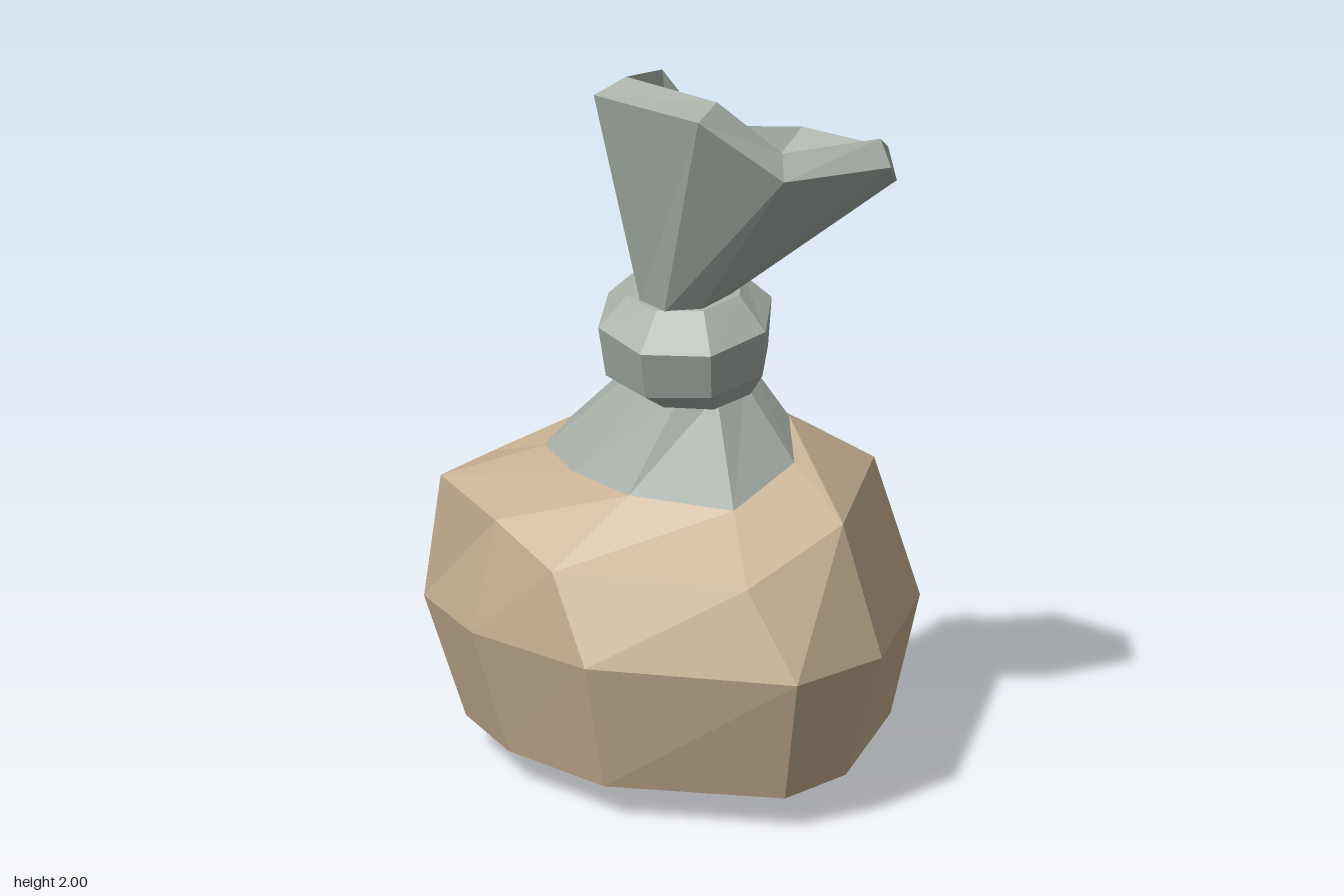
import * as THREE from 'three';

const cloth = new THREE.MeshStandardMaterial({ color: 0xc5ae90 });
cloth.name = 'tan cloth';
const grey = new THREE.MeshStandardMaterial({ color: 0xa5ada5 });
grey.name = 'grey cloth';

// Skin a stack of equal-length rings (counter-clockwise from above, bottom to top) with flat facets
function loft(name, material, rings) {
  const pos = [];
  for (let r = 0; r + 1 < rings.length; r++) {
    const lo = rings[r], hi = rings[r + 1], n = lo.length;
    for (let i = 0; i < n; i++) {
      const j = (i + 1) % n;
      for (const tri of [[lo[i], lo[j], hi[j]], [lo[i], hi[j], hi[i]]]) {
        const [a, b, c] = tri.map((p) => new THREE.Vector3(...p));
        const area = b.clone().sub(a).cross(c.clone().sub(a)).length();
        if (area > 1e-7) tri.forEach((p) => pos.push(...p));
      }
    }
  }
  const geo = new THREE.BufferGeometry();
  geo.setAttribute('position', new THREE.Float32BufferAttribute(pos, 3));
  geo.computeVertexNormals();
  const mesh = new THREE.Mesh(geo, material);
  mesh.name = name;
  return mesh;
}

// Tilted elliptical ring filling the given x and z extents
function ring(n, phase, [x0, x1], [z0, z1], y, slopeX, slopeZ) {
  const cx = (x0 + x1) / 2, cz = (z0 + z1) / 2;
  return Array.from({ length: n }, (_, i) => {
    const a = THREE.MathUtils.degToRad(phase + (360 * i) / n);
    const dx = Math.sin(a) * (x1 - x0) / 2, dz = Math.cos(a) * (z1 - z0) / 2;
    return [cx + dx, y + slopeX * dx + slopeZ * dz, cz + dz];
  });
}

export function createModel() {
  const group = new THREE.Group();
  group.name = 'tiedSack';

  // Lumpy body: keel, lower ring, belly and shoulder
  const lower = [[-0.06, 0.64], [0.39, 0.43], [0.6, 0.19], [0.5, -0.23], [0.13, -0.65],
    [-0.3, -0.6], [-0.49, -0.46], [-0.59, -0.16], [-0.58, 0.22], [-0.3, 0.63]].map(([x, z]) => [x, 0.1, z]);
  const belly = [[-0.06, 0.76], [0.44, 0.49], [0.69, 0.22], [0.56, -0.27], [0.15, -0.76],
    [-0.35, -0.7], [-0.57, -0.54], [-0.69, -0.19], [-0.675, 0.25], [-0.38, 0.74]].map(([x, z]) => [x, 0.47, z]);
  const shoulder = [[-0.1, 0.83, 0.65], [0.34, 0.885, 0.39], [0.46, 0.89, 0.08], [0.41, 0.875, -0.29],
    [0.18, 0.835, -0.64], [-0.27, 0.84, -0.575], [-0.57, 0.85, -0.45], [-0.63, 0.79, -0.15],
    [-0.65, 0.7, 0.1], [-0.4, 0.7, 0.58]];
  const keel = lower.map(([, , z]) => [-0.1, 0, z > 0 ? 0.25 : -0.29]);
  const collar = [[-0.05, 0.95, 0.43], [0.05, 1.045, 0.32], [0.12, 1.055, 0.13], [0.17, 1.02, -0.05],
    [0.08, 0.98, -0.36], [-0.16, 0.97, -0.34], [-0.34, 0.93, -0.26], [-0.41, 0.9, -0.07],
    [-0.41, 0.875, 0.15], [-0.26, 0.85, 0.4]];
  group.add(loft('body', cloth, [keel, lower, belly, shoulder, collar]));

  // Gathered neck rising into the knot
  const neckTop = ring(10, 10, [-0.29, 0.02], [-0.05, 0.3], 1.18, 0.25, -0.15);
  group.add(loft('neck', grey, [collar, neckTop]));

  // Tilted tie band around the neck
  group.add(loft('tie', grey, [
    ring(8, 15, [-0.22, -0.06], [0.05, 0.21], 1.17, 0.2, -0.15),
    ring(8, 15, [-0.31, 0.02], [-0.06, 0.32], 1.15, 0.22, -0.15),
    ring(8, 15, [-0.4, 0.065], [-0.095, 0.37], 1.21, 0.22, -0.14),
    ring(8, 15, [-0.435, 0.06], [-0.095, 0.395], 1.35, 0.25, -0.2),
    ring(8, 15, [-0.34, -0.02], [-0.03, 0.31], 1.425, 0.25, -0.15),
    ring(8, 15, [-0.24, -0.12], [0.08, 0.2], 1.42, 0.2, -0.15),
  ]));

  // Flared mouth: outer wall, thick rim and hollow inside
  const flareBase = ring(8, 20, [-0.33, -0.07], [0.035, 0.28], 1.41, 0.25, -0.15);
  const rimOuter = [[0.035, 1.775, 0.68], [0.22, 1.71, 0.55], [0.2, 1.75, 0.21], [-0.04, 1.765, 0.02],
    [-0.22, 1.95, -0.01], [-0.45, 1.955, 0.07], [-0.43, 1.91, 0.43], [-0.26, 1.755, 0.57]];
  const rimInner = [[0.05, 1.845, 0.63], [0.205, 1.8, 0.53], [0.195, 1.83, 0.23], [-0.035, 1.84, 0.08],
    [-0.165, 2, 0.04], [-0.37, 2, 0.11], [-0.35, 1.955, 0.42], [-0.21, 1.82, 0.52]];
  const pit = rimInner.map(() => [-0.2, 1.46, 0.16]);
  group.add(loft('mouth', grey, [flareBase, rimOuter, rimInner, pit]));

  return group;
}
